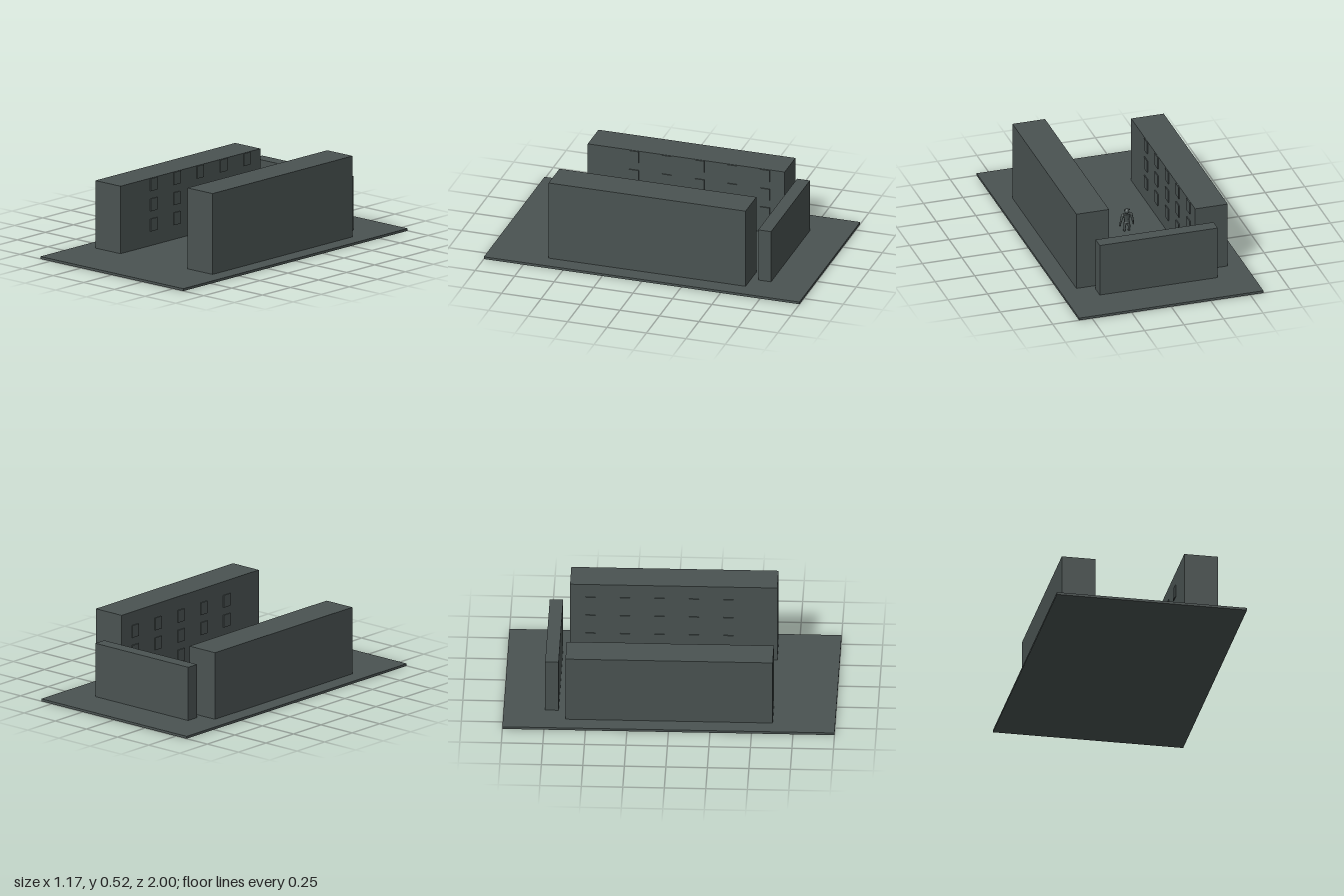
import * as THREE from 'three';

const slate = new THREE.MeshStandardMaterial({ color: 0x4a5352 });
slate.name = 'slate grey';

function add(parent, name, geometry, x, y, z) {
  const mesh = new THREE.Mesh(geometry, slate);
  mesh.name = name;
  mesh.position.set(x, y, z);
  parent.add(mesh);
  return mesh;
}

// Box given by its extents on each axis
function block(parent, name, [x0, x1], [y0, y1], [z0, z1]) {
  return add(parent, name, new THREE.BoxGeometry(x1 - x0, y1 - y0, z1 - z0),
    (x0 + x1) / 2, (y0 + y1) / 2, (z0 + z1) / 2);
}

// Tapered limb between two points
function limb(parent, name, a, b, rA, rB) {
  const from = new THREE.Vector3(...a), to = new THREE.Vector3(...b);
  const dir = to.clone().sub(from);
  const mesh = add(parent, name, new THREE.CylinderGeometry(rB, rA, dir.length(), 10), 0, 0, 0);
  mesh.position.copy(from).add(to).multiplyScalar(0.5);
  mesh.quaternion.setFromUnitVectors(new THREE.Vector3(0, 1, 0), dir.normalize());
  return mesh;
}

function ball(parent, name, r, x, y, z, sx = 1, sy = 1, sz = 1) {
  const mesh = add(parent, name, new THREE.SphereGeometry(r, 12, 8), x, y, z);
  mesh.scale.set(sx, sy, sz);
  return mesh;
}

// Small standing figure, feet on y = 0
function createFigure() {
  const figure = new THREE.Group();
  figure.name = 'figure';

  // Torso, waist and hips
  limb(figure, 'chest', [0, 0.083, 0], [0, 0.117, 0], 0.017, 0.025).scale.z = 0.6;
  limb(figure, 'waist', [0, 0.066, 0], [0, 0.083, 0], 0.016, 0.017).scale.z = 0.65;
  ball(figure, 'hips', 0.018, 0, 0.06, 0, 1, 0.65, 0.65);
  limb(figure, 'neck', [0, 0.114, 0], [0, 0.124, 0], 0.008, 0.007);

  // Head with brow, muzzle and ears
  ball(figure, 'head', 0.016, 0, 0.135, 0, 0.95, 1, 0.95);
  ball(figure, 'muzzle', 0.007, 0, 0.129, 0.013, 1.1, 0.7, 0.7);
  ball(figure, 'brow', 0.006, 0, 0.139, 0.012, 1.9, 0.5, 0.7);

  for (const s of [-1, 1]) {
    ball(figure, 'ear', 0.005, s * 0.014, 0.144, 0);
    ball(figure, 'shoulder', 0.010, s * 0.026, 0.11, 0);
    // Arms hang outwards
    limb(figure, 'upperArm', [s * 0.027, 0.11, 0], [s * 0.036, 0.077, 0], 0.009, 0.007);
    ball(figure, 'elbow', 0.0072, s * 0.036, 0.077, 0);
    limb(figure, 'forearm', [s * 0.036, 0.077, 0], [s * 0.041, 0.05, 0.003], 0.007, 0.005);
    ball(figure, 'hand', 0.0065, s * 0.042, 0.044, 0.004, 0.8, 1.2, 1);
    // Legs
    limb(figure, 'thigh', [s * 0.01, 0.06, 0], [s * 0.014, 0.034, 0], 0.010, 0.008);
    ball(figure, 'knee', 0.008, s * 0.014, 0.034, 0);
    limb(figure, 'shin', [s * 0.014, 0.034, 0], [s * 0.015, 0.006, 0], 0.008, 0.006);
    ball(figure, 'foot', 0.008, s * 0.015, 0.005, 0.005, 0.85, 0.6, 1.5);
  }
  return figure;
}

export function createModel() {
  const model = new THREE.Group();
  model.name = 'streetBlock';
  const ground = 0.015;

  // Ground slab, two facing buildings and the end wall
  block(model, 'groundSlab', [-0.583, 0.583], [0, ground], [-1, 1]);
  block(model, 'rightBuilding', [-0.479, -0.273], [ground, 0.434], [-0.624, 0.624]);
  block(model, 'leftBuilding', [0.272, 0.478], [ground, 0.517], [-0.624, 0.624]);
  block(model, 'endWall', [-0.375, 0.371], [ground, 0.35], [-0.75, -0.669]);

  // Window panels standing proud of the inner walls
  for (const wall of [-0.271, 0.27]) {
    for (let row = 0; row < 3; row++) {
      for (let col = 0; col < 5; col++) {
        add(model, 'window', new THREE.BoxGeometry(0.008, 0.077, 0.06),
          wall, 0.143 + row * 0.125, -0.5 + col * 0.2075);
      }
    }
  }

  const figure = createFigure();
  figure.position.set(-0.043, ground, 0);
  model.add(figure);
  return model;
}
